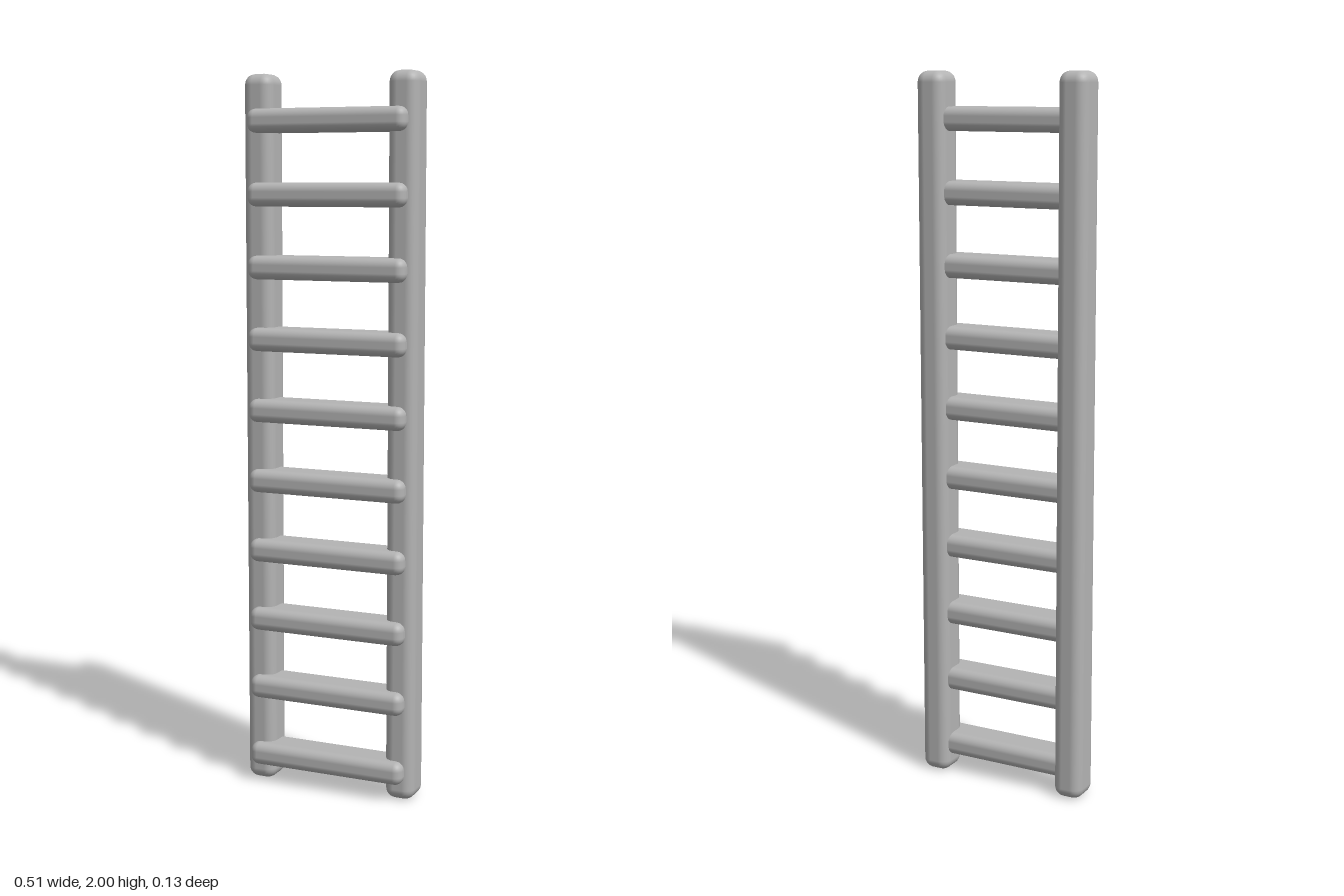
import * as THREE from 'three';
import { RoundedBoxGeometry } from 'three/addons/geometries/RoundedBoxGeometry.js';

export function createModel() {
  const ladder = new THREE.Group();
  ladder.name = 'ladder';
  const grey = new THREE.MeshStandardMaterial({ color: 0xb4b4b4 });
  grey.name = 'grey';

  const add = (name, geometry, x, y, z) => {
    const mesh = new THREE.Mesh(geometry, grey);
    mesh.name = name;
    mesh.position.set(x, y, z);
    ladder.add(mesh);
  };

  // Two upright rails with softly rounded edges
  const rail = new RoundedBoxGeometry(0.086, 2, 0.099, 3, 0.03);
  add('leftRail', rail, 0.214, 1, -0.0165);
  add('rightRail', rail, -0.214, 1, -0.0165);

  // Ten rungs, standing proud of the rails at the front
  const rung = new RoundedBoxGeometry(0.468, 0.065, 0.112, 3, 0.024);
  for (let i = 0; i < 10; i++) {
    add(`rung${i + 1}`, rung, 0, 0.082 + i * 0.199, 0.007);
  }
  return ladder;
}
